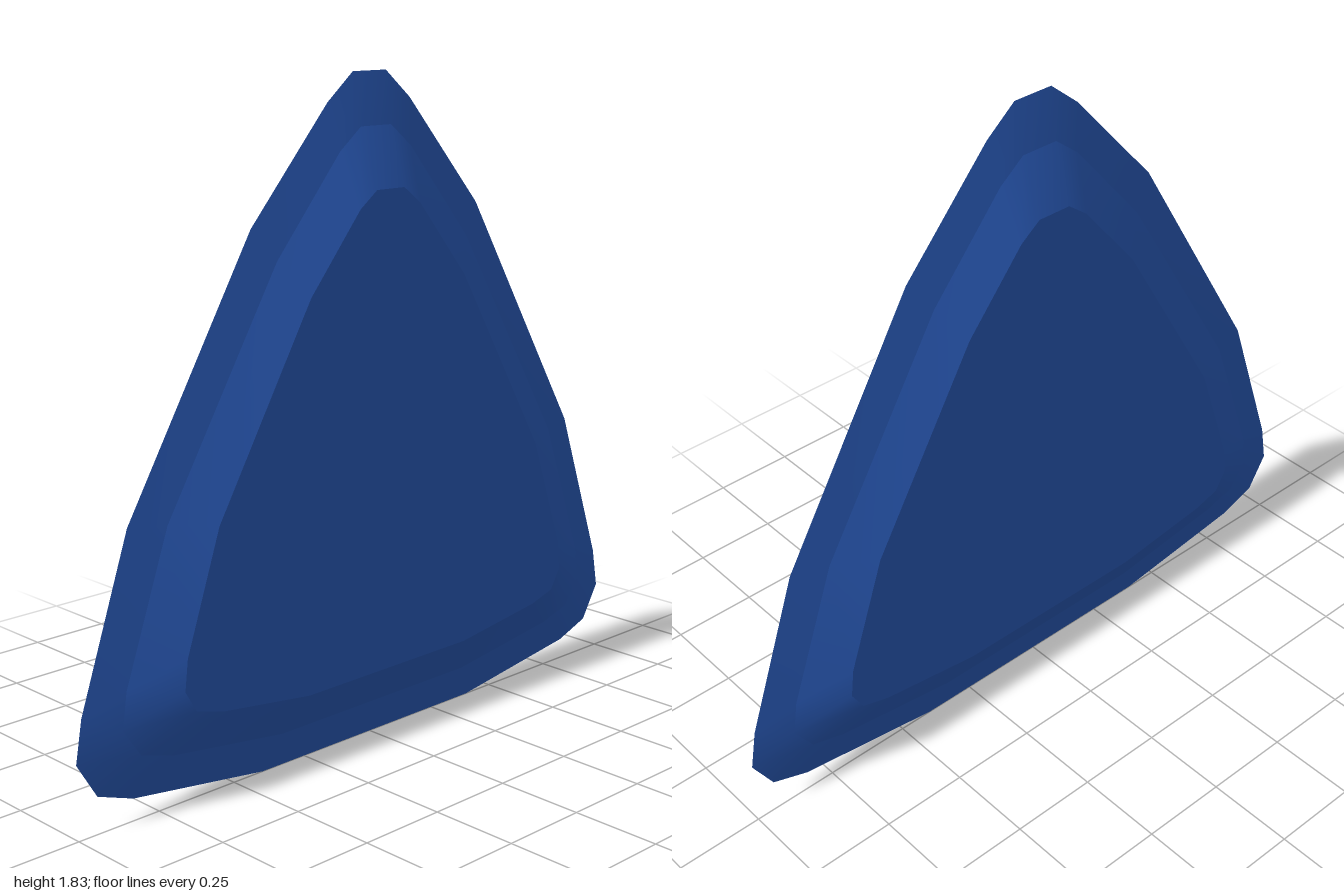
import * as THREE from 'three';

// Right half of each outline, from the tip down to the base
const RIM = [[0.06, 1.83], [0.15, 1.755], [0.415, 1.455], [0.825, 0.765], [0.98, 0.315], [1, 0.2], [0.94, 0.1], [0.83, 0.06], [0.4, 0]];
const STEP = [[0.055, 1.69], [0.13, 1.63], [0.35, 1.37], [0.72, 0.755], [0.86, 0.36], [0.875, 0.26], [0.82, 0.18], [0.72, 0.15], [0.35, 0.1]];
const FACE = [[0.05, 1.53], [0.11, 1.485], [0.285, 1.275], [0.6, 0.74], [0.71, 0.42], [0.72, 0.335], [0.685, 0.275], [0.6, 0.25], [0.3, 0.21]];

// Mirror a half outline into a full counterclockwise ring at depth z
function ring(half, z) {
  const left = half.map(([x, y]) => [-x, y, z]);
  const right = half.map(([x, y]) => [x, y, z]).reverse();
  return [...left, ...right];
}

// Sloped band between two rings, smooth along its length
function bandGeometry(outer, inner) {
  const n = outer.length;
  const index = [];
  for (let i = 0; i < n; i++) {
    const j = (i + 1) % n;
    index.push(i, j, n + j, i, n + j, n + i);
  }
  const geometry = new THREE.BufferGeometry();
  geometry.setAttribute('position', new THREE.Float32BufferAttribute([...outer, ...inner].flat(), 3));
  geometry.setIndex(index);
  geometry.computeVertexNormals();
  return geometry;
}

export function createModel() {
  const model = new THREE.Group();
  model.name = 'roundedTrianglePlate';
  const blue = new THREE.MeshStandardMaterial({ color: 0x2450a4 });
  blue.name = 'blue';

  const rim = ring(RIM, 0);
  const step = ring(STEP, 0.025);
  const face = ring(FACE, 0.08);
  const shape = new THREE.Shape(face.map(([x, y]) => new THREE.Vector2(x, y)));
  const parts = {
    EdgeBevel: bandGeometry(rim, step),
    InnerBevel: bandGeometry(step, face),
    Face: new THREE.ShapeGeometry(shape).translate(0, 0, 0.08),
  };

  // Identical front and back halves meet at the sharp rim
  for (const [side, turn] of [['front', 0], ['back', Math.PI]]) {
    const half = new THREE.Group();
    half.name = side + 'Half';
    half.rotation.y = turn;
    for (const [part, geometry] of Object.entries(parts)) {
      const mesh = new THREE.Mesh(geometry, blue);
      mesh.name = side + part;
      half.add(mesh);
    }
    model.add(half);
  }
  return model;
}
